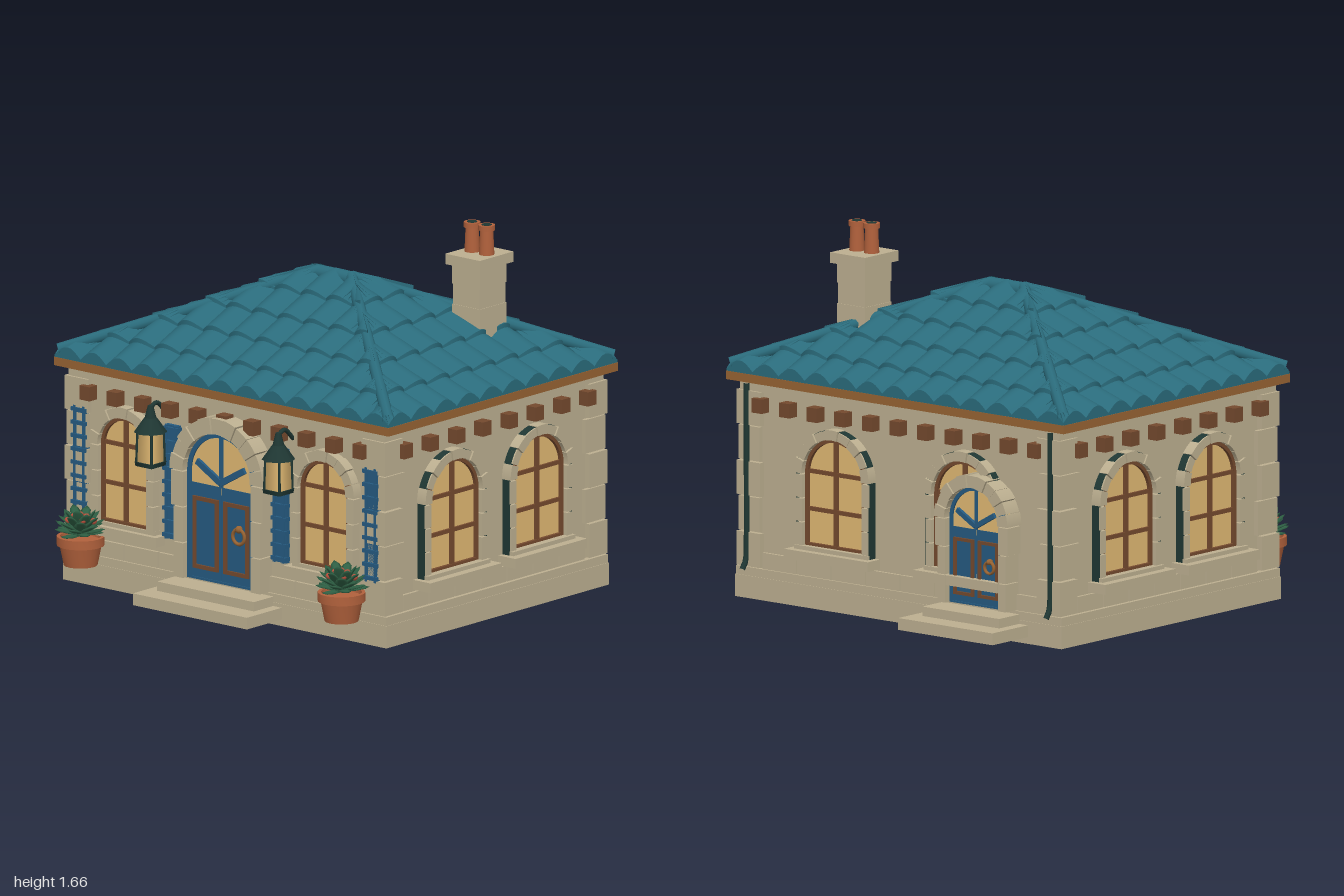
import * as THREE from 'three';
import { toCreasedNormals } from 'three/addons/utils/BufferGeometryUtils.js';

const mat = (name, color, side = THREE.FrontSide) => {
  const m = new THREE.MeshStandardMaterial({ color, side });
  m.name = name;
  return m;
};
const M = {
  stone: mat('stone', 0xbcaf90), tile: mat('roofTile', 0x2a6b7b, THREE.DoubleSide),
  wood: mat('darkWood', 0x74492e), trim: mat('eaveWood', 0x976333),
  blue: mat('bluePaint', 0x255a80), glass: mat('warmGlass', 0xe0b872),
  iron: mat('darkIron', 0x1f3733), clay: mat('terracotta', 0xb1613c),
  leaf: mat('leaf', 0x2f6145), flower: mat('flower', 0xb8503c),
};

function add(parent, name, geo, material, x = 0, y = 0, z = 0) {
  const m = new THREE.Mesh(geo, material);
  m.name = name;
  m.position.set(x, y, z);
  parent.add(m);
  return m;
}
// Box given by its extents
const box = (p, name, m, x0, x1, y0, y1, z0, z1) =>
  add(p, name, new THREE.BoxGeometry(x1 - x0, y1 - y0, z1 - z0), m, (x0 + x1) / 2, (y0 + y1) / 2, (z0 + z1) / 2);
const cyl = (p, name, m, rt, rb, y0, y1, x, z, n = 16) =>
  add(p, name, new THREE.CylinderGeometry(rt, rb, y1 - y0, n), m, x, (y0 + y1) / 2, z);
const tube = (p, name, m, pts, r) => add(p, name,
  new THREE.TubeGeometry(new THREE.CatmullRomCurve3(pts.map(a => new THREE.Vector3(...a))), 24, r, 10), m);
function group(parent, name, x = 0, y = 0, z = 0) {
  const g = new THREE.Group();
  g.name = name;
  g.position.set(x, y, z);
  parent.add(g);
  return g;
}

// Round-headed outline: half width r, from y0 to the spring line, then a half circle
function arch(r, y0, spring, Type = THREE.Shape) {
  const s = new Type();
  s.moveTo(-r, y0);
  s.lineTo(r, y0);
  s.lineTo(r, spring);
  s.absarc(0, spring, r, 0, Math.PI, false);
  s.closePath();
  return s;
}
const extrude = (s, depth) => new THREE.ExtrudeGeometry(s, { depth, bevelEnabled: false, curveSegments: 16 });
// Outer half width and bottom, then those of the hole
function archRing(r1, y1, r0, y0, spring, depth) {
  const s = arch(r1, y1, spring);
  s.holes.push(arch(r0, y0, spring, THREE.Path));
  return extrude(s, depth);
}

// Arch stones over stacked jamb stones
function surround(p, r, t, y0, spring, depth, n, jambT) {
  for (let i = 0; i < n; i++) {
    const a = (i + 0.03) / n * Math.PI, b = (i + 0.97) / n * Math.PI;
    const key = i % 2 ? 0 : 0.005;
    const s = new THREE.Shape();
    s.absarc(0, spring, r + t + key, a, b, false);
    s.absarc(0, spring, r, b, a, true);
    add(p, 'archStone', extrude(s, depth + key), M.stone);
  }
  const h = (spring - y0) / 3;
  for (const sx of [-1, 1]) for (let i = 0; i < 3; i++) {
    const w = i === 2 ? t : jambT;
    box(p, 'jambStone', M.stone, Math.min(sx * r, sx * (r + w)), Math.max(sx * r, sx * (r + w)),
      y0 + i * h, y0 + (i + 1) * h - 0.005, 0, depth);
  }
}

// Window facing local +z, wall plane at z = 0
function windowUnit(p, x, r, y0, spring, sillHalf, sillOut, t, rim) {
  const g = group(p, 'window', x);
  add(g, 'windowGlass', extrude(arch(r, y0, spring), 0.009), M.glass);
  add(g, 'windowFrame', archRing(r, y0, r - 0.016, y0 + 0.012, spring, 0.025), M.wood);
  box(g, 'mullion', M.wood, -0.01, 0.01, y0, spring + r - 0.01, 0, 0.022);
  for (const y of [spring + 0.012, y0 + (spring - y0) / 2 + 0.004])
    box(g, 'glazingBar', M.wood, -r + 0.01, r - 0.01, y - 0.009, y + 0.009, 0, 0.02);
  surround(g, r, t, y0, spring, 0.045, 9, t - 0.006);
  if (rim) add(g, 'archRim', archRing(r + t + 0.002, y0 - 0.02, r + t - 0.012, y0 - 0.01, spring, 0.038), M.iron);
  box(g, 'sill', M.stone, -sillHalf, sillHalf, y0 - 0.062, y0 - 0.018, 0, sillOut);
  box(g, 'sillBed', M.stone, -sillHalf + 0.03, sillHalf - 0.03, y0 - 0.021, y0, 0, sillOut * 0.6);
}

function shutter(p, x) {
  const g = group(p, 'shutter', x);
  box(g, 'shutterPanel', M.blue, -0.038, 0.038, 0.285, 0.8, 0, 0.02);
  for (const s of [-1, 1]) box(g, 'shutterStile', M.blue, s * 0.026 - 0.006, s * 0.026 + 0.006, 0.285, 0.8, 0, 0.03);
  for (let i = 0; i < 9; i++) box(g, 'shutterRail', M.blue, -0.042, 0.042, 0.295 + i * 0.06, 0.312 + i * 0.06, 0, 0.034);
}

// Double door with fanlight; local y = 0 is the threshold
function doorUnit(p, x, scale, depthScale) {
  const g = group(p, 'door', x, 0.14, 0), r = 0.195, spring = 0.485;
  g.scale.set(scale, scale, depthScale);
  add(g, 'fanlight', extrude(arch(r, 0.4, spring), 0.045), M.glass);
  add(g, 'doorFrame', archRing(r, 0, r - 0.022, 0.01, spring, 0.052), M.blue);
  for (const s of [-1, 1]) {
    const c = s * 0.089;
    box(g, 'doorLeaf', M.blue, c - 0.086, c + 0.086, 0, 0.435, 0, 0.047);
    for (const e of [-1, 1]) {
      box(g, 'panelMould', M.wood, c + e * 0.064 - 0.009, c + e * 0.064 + 0.009, 0.05, 0.375, 0, 0.056);
      const y = 0.2125 + e * 0.154;
      box(g, 'panelMould', M.wood, c - 0.073, c + 0.073, y - 0.009, y + 0.009, 0, 0.056);
    }
    const bar = box(g, 'fanBar', M.blue, -0.08, 0.08, -0.014, 0.014, 0, 0.05);
    bar.position.set(s * 0.068, 0.495, 0.034);
    bar.rotation.z = s * Math.PI / 6;
  }
  box(g, 'fanBar', M.blue, -0.008, 0.008, 0.435, 0.67, 0, 0.055);
  surround(g, r, 0.07, 0, spring, 0.08, 11, 0.055);
  add(g, 'knocker', new THREE.TorusGeometry(0.034, 0.008, 8, 20), M.trim, 0.115, 0.235, 0.066);
  add(g, 'knockerBoss', new THREE.SphereGeometry(0.017, 12, 8), M.trim, 0.115, 0.268, 0.064);
}

function lantern(p, x) {
  const g = group(p, 'lantern', x, 0, 0.815);
  const body = group(g, 'lanternBody');
  body.rotation.y = Math.PI / 4;
  cyl(body, 'lanternGlass', M.glass, 0.057, 0.062, 0.64, 0.775, 0, 0, 4);
  cyl(body, 'lanternBase', M.iron, 0.07, 0.066, 0.622, 0.641, 0, 0, 4);
  for (let i = 0; i < 4; i++) {
    const s = Math.sin(i * Math.PI / 2), c = Math.cos(i * Math.PI / 2);
    tube(body, 'lanternBar', M.iron, [[s * 0.062, 0.635, c * 0.062], [s * 0.057, 0.78, c * 0.057]], 0.006);
  }
  cyl(g, 'lanternRoof', M.iron, 0.028, 0.074, 0.775, 0.84, 0, 0, 8);
  cyl(g, 'lanternNeck', M.iron, 0.012, 0.026, 0.84, 0.895, 0, 0, 8);
  tube(g, 'lanternBracket', M.iron, [[0, 0.885, 0], [0, 0.9, -0.04], [0, 0.85, -0.1]], 0.01);
}

function planter(p, x) {
  const g = group(p, 'planter', x, 0.115, 0.838);
  const prof = [[0, 0], [0.075, 0], [0.093, 0.09], [0.105, 0.09], [0.105, 0.13], [0.09, 0.13], [0.088, 0.11], [0, 0.11]];
  add(g, 'pot', toCreasedNormals(new THREE.LatheGeometry(prof.map(a => new THREE.Vector2(...a)), 20), 0.6), M.clay);
  // Broad leaves, spreading at the rim and steeper toward the middle
  for (let i = 0; i < 30; i++) {
    const geo = new THREE.SphereGeometry(1, 6, 4);
    geo.scale(0.03, 0.062, 0.007).translate(0, 0.062, 0).rotateX(1.5 - (i / 30) * 1.0).rotateY(i * 2.4);
    add(g, 'leaf', geo, M.leaf, 0, 0.135 + (i / 30) * 0.02, 0);
  }
  for (let i = 0; i < 8; i++) {
    const a = i * 2.4, d = 0.026 * Math.sqrt(i);
    add(g, 'blossom', new THREE.IcosahedronGeometry(0.015, 1), M.flower, d * Math.sin(a), 0.225 - d * 0.35, d * Math.cos(a));
  }
}

// One hipped slope of barrel tiles in stepped rows, facing local +z
function slope(half, topHalf, z0, z1, cols, rows) {
  const pos = [], n = cols * 8, pitch = 2 * half / cols;
  const point = (i, v, lift, barrel, nose) => {
    const hump = Math.abs(Math.sin(i / 8 * Math.PI));
    v = Math.max(0, v - nose * hump);
    const w = half + (topHalf - half) * v;
    const x = THREE.MathUtils.clamp(-half + i / 8 * pitch, -w, w);
    return [x, 1.005 + 0.385 * v + lift + barrel * hump, z0 + (z1 - z0) * v];
  };
  for (let r = 0; r < rows; r++) {
    const v0 = r / rows, v1 = (r + 1) / rows, nose = r ? 0.03 : 0;
    const lines = [[v0, 0, r ? 0.03 : 0, nose], [v0, 0.012, 0.044, nose], [(v0 + v1) / 2, 0.006, 0.038, 0], [v1, 0, 0.032, 0]];
    for (let j = 0; j < 3; j++) for (let i = 0; i < n; i++) {
      const [a, b, c, d] = [point(i, ...lines[j]), point(i + 1, ...lines[j]), point(i + 1, ...lines[j + 1]), point(i, ...lines[j + 1])];
      pos.push(...a, ...b, ...c, ...a, ...c, ...d);
    }
  }
  const geo = new THREE.BufferGeometry();
  geo.setAttribute('position', new THREE.Float32BufferAttribute(pos, 3));
  return toCreasedNormals(geo, 0.6);
}

export function createModel() {
  const house = new THREE.Group();
  house.name = 'house';

  // Base, walls and steps
  box(house, 'plinth', M.stone, -0.935, 0.935, 0, 0.1, -0.746, 0.746);
  box(house, 'plinthCurb', M.stone, -0.932, 0.932, 0.1, 0.138, -0.743, 0.743);
  box(house, 'walls', M.stone, -0.9, 0.9, 0.138, 0.97, -0.72, 0.72);
  box(house, 'frieze', M.stone, -0.915, 0.915, 0.925, 0.97, -0.735, 0.735);
  for (const [x, w, z, s] of [[0, 0.33, 0.98, 1], [-0.473, 0.27, 0.987, -1]]) {
    const st = group(house, 'steps', x);
    if (s < 0) st.rotation.y = Math.PI;
    box(st, 'lowerStep', M.stone, -w, w, 0.03, 0.083, 0.7, z);
    box(st, 'upperStep', M.stone, -w + 0.05, w - 0.05, 0.083, 0.125, 0.7, z - 0.105);
  }

  // Corner stones
  for (const sx of [-1, 1]) for (const sz of [-1, 1]) for (let i = 0; i < 5; i++) {
    const e = i % 2 ? 0.006 : 0, w = i % 2 ? 0.12 : 0.135, d = i % 2 ? 0.135 : 0.12;
    add(house, 'cornerStone', new THREE.BoxGeometry(w, 0.152, d), M.stone,
      sx * (0.927 - e - w / 2), 0.218 + i * 0.158, sz * (0.746 - e - d / 2));
  }

  // Four wall faces: angle, distance, half width, corbel count and pitch
  const faces = [[0, 0.72, 0.79, 11, 0.158], [Math.PI / 2, 0.9, 0.61, 8, 0.176],
    [Math.PI, 0.72, 0.79, 11, 0.158], [-Math.PI / 2, 0.9, 0.61, 8, 0.176]];
  faces.forEach(([angle, dist, half, count, pitch], k) => {
    const turn = group(house, ['frontWall', 'leftWall', 'backWall', 'rightWall'][k]);
    turn.rotation.y = angle;
    const f = group(turn, 'wallDetails', 0, 0, dist);
    for (let i = 0; i < count; i++) {
      const x = (i - (count - 1) / 2) * pitch;
      box(f, 'corbel', M.wood, x - 0.029, x + 0.029, 0.838, 0.902, 0, 0.052);
    }
    const blocks = k % 2 ? 7 : 8, bw = 2 * half / blocks;
    for (let i = 0; i < blocks; i++)
      box(f, 'baseStone', M.stone, -half + i * bw + 0.003, -half + (i + 1) * bw - 0.003, 0.138, 0.21, 0, 0.014);
    if (k === 0) {
      for (const s of [-1, 1]) {
        windowUnit(f, s * 0.578, 0.14, 0.305, 0.65, 0.21, 0.06, 0.045, false);
        shutter(f, s * 0.313);
        shutter(f, s * 0.843);
      }
      doorUnit(f, 0, 1, 1);
    } else {
      const xs = k === 2 ? [-0.365, 0.375] : [-0.285, 0.285];
      for (const x of xs) windowUnit(f, x, 0.17, 0.28, 0.6, 0.24, k === 2 ? 0.085 : 0.1, 0.04, true);
      if (k === 2) {
        doorUnit(f, 0.473, 0.78, 1.13);
        for (const s of [-1, 1])
          tube(f, 'downspout', M.iron, [[s * 0.87, 0.96, 0.025], [s * 0.87, 0.7, 0.025], [s * 0.87, 0.25, 0.025], [s * 0.87, 0.17, 0.03], [s * 0.87, 0.13, 0.055]], 0.013);
      }
    }
  });
  for (const s of [-1, 1]) {
    lantern(house, s * 0.37);
    planter(house, s * 0.755);
  }

  // Roof
  box(house, 'eaveBoard', M.trim, -0.968, 0.968, 0.968, 1.006, -0.77, 0.77);
  const longSide = slope(0.965, 0.095, 0.768, 0, 13, 5), shortSide = slope(0.768, 0, 0.965, 0.095, 10, 5);
  faces.forEach(([angle], k) => { add(house, 'roofSlope', k % 2 ? shortSide : longSide, M.tile).rotation.y = angle; });
  for (const sx of [-1, 1]) for (const sz of [-1, 1])
    tube(house, 'hipCap', M.tile, [[sx * 0.955, 1.04, sz * 0.755], [sx * 0.09, 1.398, 0]], 0.026);
  const ridge = cyl(house, 'ridgeCap', M.tile, 0.034, 0.034, -0.1, 0.1, 0, 0);
  ridge.position.y = 1.385;
  ridge.rotation.z = Math.PI / 2;

  // Chimney
  const ch = group(house, 'chimney', 0.558, 0, -0.315);
  for (let i = 0; i < 4; i++) {
    const e = i % 2 ? 0.003 : 0;
    box(ch, 'chimneyCourse', M.stone, -0.077 - e, 0.077 + e, 1.11 + i * 0.092, 1.202 + i * 0.092, -0.087 - e, 0.087 + e);
  }
  box(ch, 'chimneyCap', M.stone, -0.1, 0.1, 1.475, 1.522, -0.113, 0.113);
  for (const x of [-0.042, 0.042]) {
    cyl(ch, 'chimneyPot', M.clay, 0.029, 0.034, 1.522, 1.635, x, 0);
    cyl(ch, 'chimneyPotRim', M.clay, 0.037, 0.037, 1.632, 1.655, x, 0);
    cyl(ch, 'flue', M.iron, 0.023, 0.023, 1.65, 1.657, x, 0);
  }
  return house;
}
